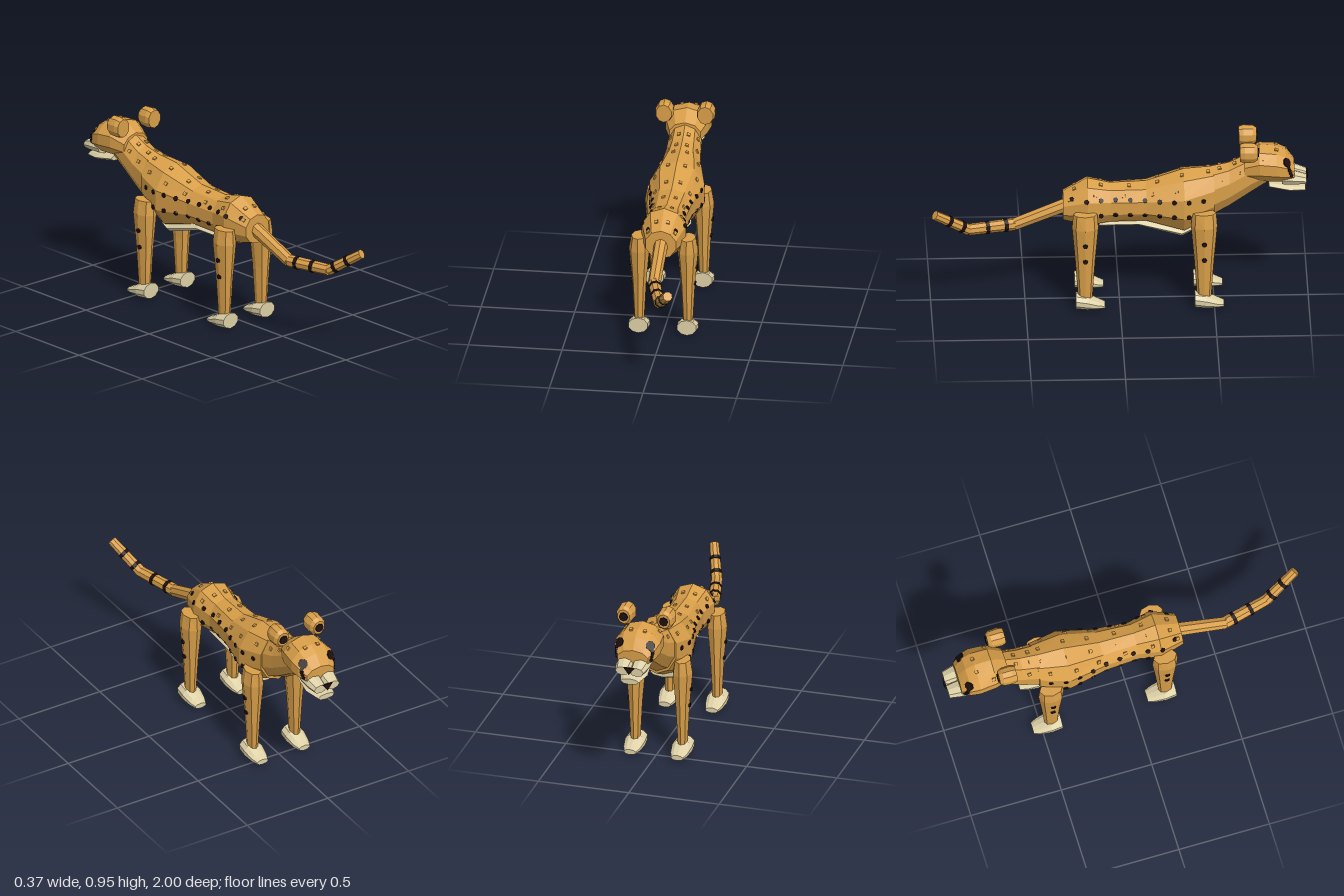
import * as THREE from 'three';

const coat = new THREE.MeshStandardMaterial({ color: 0xd99f49 });
coat.name = 'golden coat';
const cream = new THREE.MeshStandardMaterial({ color: 0xddd0a6 });
cream.name = 'cream';
const black = new THREE.MeshStandardMaterial({ color: 0x1e0f10 });
black.name = 'black';

// Point on an elliptical ring [z, centreY, radiusY, radiusX, centreX]; u counts sides from the top
function ringPoint(r, u, sides) {
  const at = (k) => {
    const t = (k / sides) * Math.PI * 2;
    return new THREE.Vector3((r[4] || 0) + Math.sin(t) * r[3], r[1] + Math.cos(t) * r[2], r[0]);
  };
  return at(Math.floor(u)).lerp(at(Math.floor(u) + 1), u - Math.floor(u));
}

// Faceted skin through rings listed from +z to -z, closed at both ends
function loft(rings, sides) {
  const pos = [];
  const tri = (...p) => p.forEach((v) => pos.push(v.x, v.y, v.z));
  const mid = (r) => new THREE.Vector3(r[4] || 0, r[1], r[0]);
  const first = rings[0], last = rings[rings.length - 1];
  for (let j = 0; j < sides; j++) {
    for (let i = 0; i < rings.length - 1; i++) {
      const a = ringPoint(rings[i], j, sides), b = ringPoint(rings[i], j + 1, sides);
      const c = ringPoint(rings[i + 1], j, sides), d = ringPoint(rings[i + 1], j + 1, sides);
      tri(a, b, c);
      tri(b, d, c);
    }
    tri(mid(first), ringPoint(first, j + 1, sides), ringPoint(first, j, sides));
    tri(mid(last), ringPoint(last, j, sides), ringPoint(last, j + 1, sides));
  }
  const g = new THREE.BufferGeometry();
  g.setAttribute('position', new THREE.Float32BufferAttribute(pos, 3));
  g.computeVertexNormals();
  return g;
}

function flat(geometry) {
  const g = geometry.toNonIndexed();
  g.computeVertexNormals();
  return g;
}

// Position and outward normal on a lofted skin
function skinAt(rings, z, u, sides = 10) {
  const at = (zz, uu) => {
    let i = 0;
    while (i < rings.length - 2 && rings[i + 1][0] > zz) i++;
    const f = (rings[i][0] - zz) / (rings[i][0] - rings[i + 1][0]);
    return ringPoint(rings[i], uu, sides).lerp(ringPoint(rings[i + 1], uu, sides), f);
  };
  const p = at(z, u), e = 0.004;
  const du = at(z, u + e).sub(at(z, u - e)), dz = at(z - e, u).sub(at(z + e, u));
  return { p, n: du.cross(dz).normalize() };
}

// Side position, in ring units, where the skin has height y
function sideAtHeight(rings, z, y) {
  let lo = 0, hi = 5;
  for (let k = 0; k < 30; k++) {
    const m = (lo + hi) / 2;
    if (skinAt(rings, z, m).p.y > y) lo = m; else hi = m;
  }
  return lo;
}

// Rings: [z, centreY, radiusY, radiusX]
const BODY = [[0.30, 0.555, 0.08, 0.085], [0.17, 0.575, 0.135, 0.125], [0.05, 0.57, 0.112, 0.1],
  [-0.14, 0.577, 0.112, 0.115], [-0.34, 0.58, 0.177, 0.155], [-0.5, 0.625, 0.145, 0.115]];
const NECK = [[-0.44, 0.61, 0.15, 0.115], [-0.58, 0.665, 0.125, 0.098],
  [-0.7, 0.735, 0.113, 0.088], [-0.8, 0.78, 0.09, 0.08]];
const HEAD = [[-0.66, 0.77, 0.07, 0.088], [-0.74, 0.792, 0.101, 0.12], [-0.83, 0.787, 0.098, 0.128],
  [-0.88, 0.775, 0.085, 0.118], [-0.925, 0.75, 0.05, 0.088]];

export function createModel() {
  const model = new THREE.Group();
  const add = (name, geometry, material, parent = model) => {
    const m = new THREE.Mesh(geometry, material);
    m.name = name;
    parent.add(m);
    return m;
  };
  const up = new THREE.Vector3(0, 1, 0);
  const spotGeo = flat(new THREE.CylinderGeometry(0.013, 0.013, 0.009, 8));
  const tuftGeo = flat(new THREE.BoxGeometry(0.018, 0.014, 0.018));

  // Place a small piece on a skin, on both sides
  const pair = (name, geometry, material, rings, z, u, scale = 1) => {
    const { p, n } = skinAt(rings, z, u);
    for (const s of [1, -1]) {
      const m = add(name, geometry, material);
      m.position.set(p.x * s, p.y, p.z);
      m.quaternion.setFromUnitVectors(up, new THREE.Vector3(n.x * s, n.y, n.z));
      m.scale.set(scale, 1, scale);
    }
  };

  add('body', loft(BODY, 10), coat);
  add('neck', loft(NECK, 10), coat);
  add('head', loft(HEAD, 10), coat);
  add('belly', loft([[0.11, 0.46, 0.02, 0.06], [-0.1, 0.468, 0.022, 0.075],
    [-0.33, 0.41, 0.03, 0.08], [-0.38, 0.43, 0.025, 0.07]], 8), cream);

  // Flank spots in two rows
  for (let i = 0; i < 10; i++) {
    const z = 0.255 - i * 0.0775;
    pair('flankSpot', spotGeo, black, BODY, z, sideAtHeight(BODY, z, 0.62));
    if (i > 1 && i < 9) pair('flankSpot', spotGeo, black, BODY, z, sideAtHeight(BODY, z, 0.535));
  }

  // Raised tufts along the back, neck and head
  for (const z of [0.24, 0.1, -0.05, -0.2, -0.33, -0.47]) {
    pair('backTuft', tuftGeo, coat, BODY, z, 0.5);
    pair('backTuft', tuftGeo, coat, BODY, z + 0.03, 1.45);
  }
  for (const z of [-0.53, -0.61]) {
    pair('neckTuft', tuftGeo, coat, NECK, z, 0.45);
    pair('neckTuft', tuftGeo, coat, NECK, z - 0.02, 1.5);
  }
  pair('headTuft', tuftGeo, coat, HEAD, -0.83, 0.5);
  pair('headTuft', tuftGeo, coat, HEAD, -0.75, 1.5);

  // Eyes with tear marks running to the mouth
  pair('eye', spotGeo, black, HEAD, -0.885, 1.4, 2);
  for (const [z, u] of [[-0.893, 1.85], [-0.898, 2.1], [-0.903, 2.4], [-0.908, 2.7]]) {
    pair('tearMark', spotGeo, black, HEAD, z, u, 0.8);
  }

  // Muzzle lobes, jaw and nose
  for (const s of [1, -1]) {
    add('muzzle', loft([[-0.86, 0.718, 0.036, 0.046, s * 0.044], [-0.93, 0.716, 0.036, 0.048, s * 0.044],
      [-0.99, 0.705, 0.024, 0.038, s * 0.04]], 8), cream);
  }
  add('jaw', loft([[-0.79, 0.672, 0.018, 0.06], [-0.9, 0.655, 0.02, 0.075],
    [-0.985, 0.645, 0.017, 0.05]], 8), cream);
  const triangle = new THREE.Shape([[-0.03, 0.73], [0, 0.69], [0.03, 0.73]].map((p) => new THREE.Vector2(...p)));
  add('nose', new THREE.ExtrudeGeometry(triangle, { depth: 0.009, bevelEnabled: false }), black).position.z = -0.999;

  // Ears
  const earGeo = loft([[-0.635, 0.897, 0.05, 0.043], [-0.66, 0.897, 0.058, 0.05],
    [-0.71, 0.897, 0.055, 0.047], [-0.73, 0.897, 0.04, 0.034]], 10);
  for (const s of [1, -1]) {
    add('ear', earGeo, coat).position.x = s * 0.111;
    const inner = add('earMark', spotGeo, black);
    inner.position.set(s * 0.111, 0.897, -0.731);
    inner.rotation.x = Math.PI / 2;
    inner.scale.set(1.9, 1, 1.9);
  }

  // Legs and paws: leg rings are stacked upright by turning the loft
  const legGeo = loft([[0.557, 0, 0.064, 0.042], [0.48, 0, 0.07, 0.055], [0.29, 0, 0.053, 0.038],
    [0.06, 0, 0.037, 0.026]], 8).rotateX(-Math.PI / 2);
  const pawGeo = loft([[0.05, 0.053, 0.043, 0.053], [-0.01, 0.046, 0.041, 0.058],
    [-0.07, 0.032, 0.024, 0.048], [-0.105, 0.026, 0.015, 0.034]], 10);
  for (const [end, z] of [['back', 0.185], ['front', -0.445]]) {
    for (const s of [1, -1]) {
      const leg = new THREE.Group();
      leg.name = end + (s > 0 ? 'LegA' : 'LegB');
      leg.position.set(s * 0.13, 0, z);
      model.add(leg);
      add('leg', legGeo, coat, leg);
      add('paw', pawGeo, cream, leg);
      for (const [y, r] of [[0.39, 0.0467], [0.295, 0.0385]]) {
        const spot = add('legSpot', spotGeo, black, leg);
        spot.position.set(s * r, y, 0);
        spot.rotation.z = Math.PI / 2;
      }
    }
  }

  // Tail in three straight pieces, with dark bands
  const rod = (name, a, b, r0, r1, material) => {
    const m = add(name, flat(new THREE.CylinderGeometry(r1, r0, a.distanceTo(b), 8)), material);
    m.position.copy(a).lerp(b, 0.5);
    m.quaternion.setFromUnitVectors(up, b.clone().sub(a).normalize());
  };
  const joints = [[0, 0.56, 0.27], [0, 0.444, 0.555], [0.06, 0.444, 0.8], [0.13, 0.565, 0.982]]
    .map((p) => new THREE.Vector3(...p));
  const radii = [0.038, 0.034, 0.031, 0.026];
  for (let i = 0; i < 3; i++) {
    const a = joints[i], b = joints[i + 1];
    rod('tail', a, b, radii[i], radii[i + 1], coat);
    for (const f of [[], [0.2, 0.6], [0.2, 0.58]][i]) {
      const r = THREE.MathUtils.lerp(radii[i], radii[i + 1], f) + 0.003;
      const half = 0.01 / a.distanceTo(b);
      rod('tailBand', a.clone().lerp(b, f - half), a.clone().lerp(b, f + half), r, r, black);
    }
  }
  return model;
}
